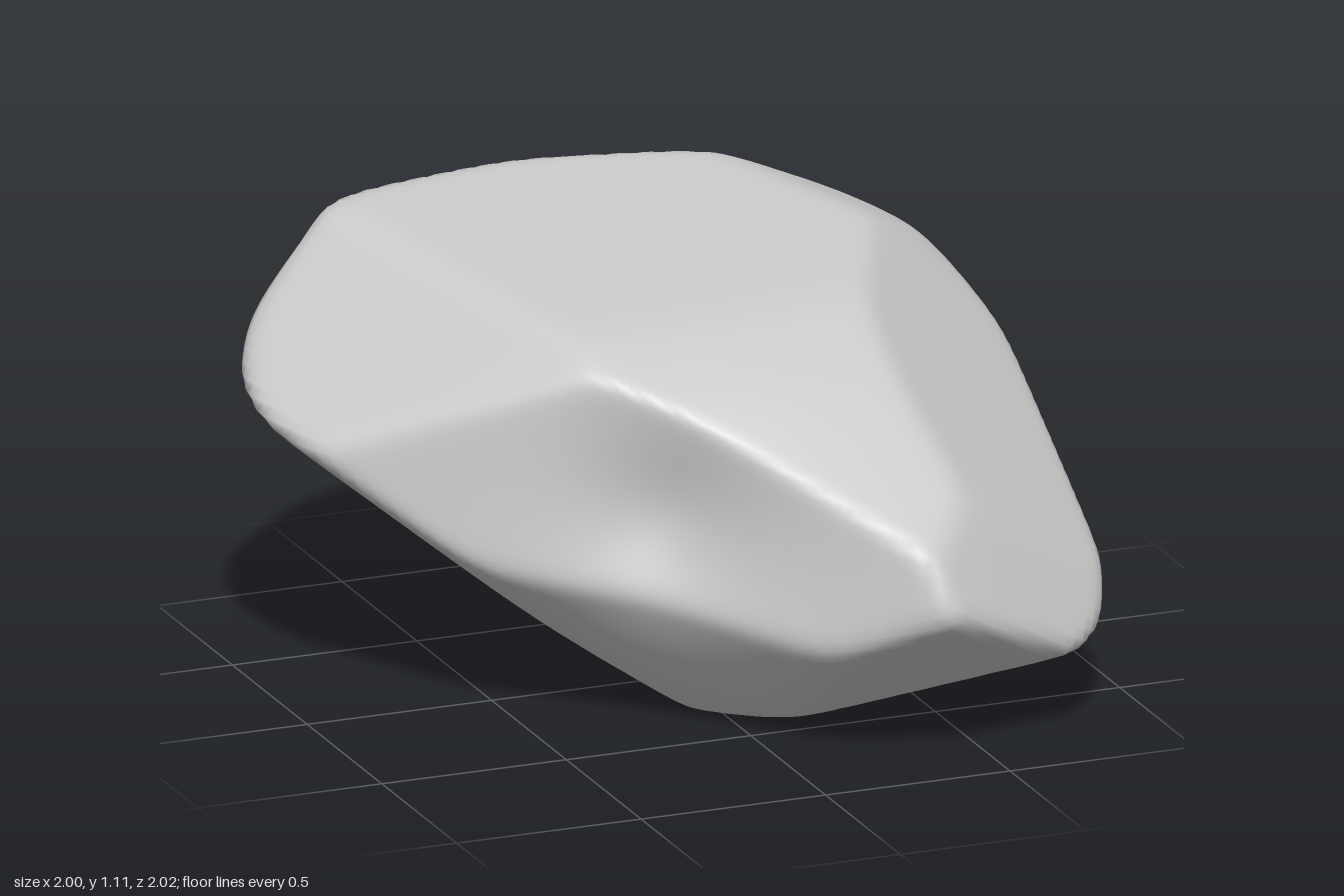
import * as THREE from 'three';
import { mergeVertices } from 'three/addons/utils/BufferGeometryUtils.js';

// Each worn face of the boulder is a plane: outward normal x, y, z and offset along it.
const FACES = [
  // top
  [0.03, 1, 0.1, 1.012],
  [0.06, 0.86, 0.3, 0.912],
  [0.05, 0.44, 0.25, 0.513],
  [-0.27, 0.38, 0.12, 0.508],
  [0.84, 0.98, 0.46, 1.397],
  [0.4, 0.9, -0.1, 1.225],
  [0.75, 0.65, -0.05, 1.262],
  // front
  [-0.64, 0.1, 0.76, 0.609],
  [0.67, 0.5, 0.785, 1.25],
  // sides
  [1, -0.12, 0, 0.938],
  [0.93, 0.1, -0.3, 1.094],
  [-0.9, 0, -0.25, 1.018],
  // back
  [0.12, 0.22, -0.97, 1.104],
  [-0.2, 0.22, -0.96, 1.124],
  [0.75, 0.1, -0.65, 1.196],
  [-0.55, 0.2, -0.8, 1.175],
  [-0.85, 0, -0.5, 1.09],
  [0, -0.55, -0.83, 0.558],
  // underside
  [0, -1, 0, 0],
  [-0.65, -0.75, 0.05, 0.107],
  [-0.42, -0.72, -0.214, -0.021],
  [-0.615, -0.75, 0.535, 0.18],
  [0, -0.94, -0.35, -0.062],
  [-0.05, -0.78, 0.6, 0.275],
  [0.28, -0.95, 0, 0.008],
  [0.65, -0.41, -0.095, 0.399],
  [0.55, -0.7, -0.4, 0.319],
];

const CENTER = new THREE.Vector3(0.05, 0.55, -0.1);
const SHARPNESS = 46;
const EDGE_ALLOWANCE = 1.012; // makes up for what the rounded edges lose
const HOLLOW = new THREE.Vector3(-0.25, 0.03, 0.55).normalize();

export function createModel() {
  const planes = FACES.map(([x, y, z, offset]) => {
    const normal = new THREE.Vector3(x, y, z);
    const distance = ((offset - normal.dot(CENTER)) / normal.length()) * EDGE_ALLOWANCE;
    return { normal: normal.normalize(), distance };
  });

  // Distance to the rock's skin: a soft minimum over all faces, with a hollow in the front flank
  const radius = (dir) => {
    let sum = 0;
    for (const { normal, distance } of planes) {
      sum += Math.pow(Math.max(0, normal.dot(dir)) / distance, SHARPNESS);
    }
    const hollow = 0.15 * Math.exp((HOLLOW.dot(dir) - 1) / 0.09);
    return Math.pow(sum, -1 / SHARPNESS) * (1 - hollow);
  };

  // Shape a fine, evenly divided ball
  let geometry = new THREE.IcosahedronGeometry(1, 44);
  geometry.deleteAttribute('uv');
  geometry.deleteAttribute('normal');
  geometry = mergeVertices(geometry, 1e-5);
  const position = geometry.attributes.position;
  const v = new THREE.Vector3();
  for (let i = 0; i < position.count; i++) {
    v.fromBufferAttribute(position, i).normalize();
    v.multiplyScalar(radius(v)).add(CENTER);
    position.setXYZ(i, v.x, v.y, v.z);
  }

  // Settle it on the ground
  geometry.computeBoundingBox();
  const box = geometry.boundingBox;
  const mid = box.getCenter(new THREE.Vector3());
  geometry.translate(-mid.x, -box.min.y, -mid.z);
  geometry.computeVertexNormals();

  const boulder = new THREE.Mesh(geometry, new THREE.MeshStandardMaterial({ color: 0xcccccc }));
  boulder.name = 'boulder';
  const group = new THREE.Group();
  group.name = 'rock';
  group.add(boulder);
  return group;
}
